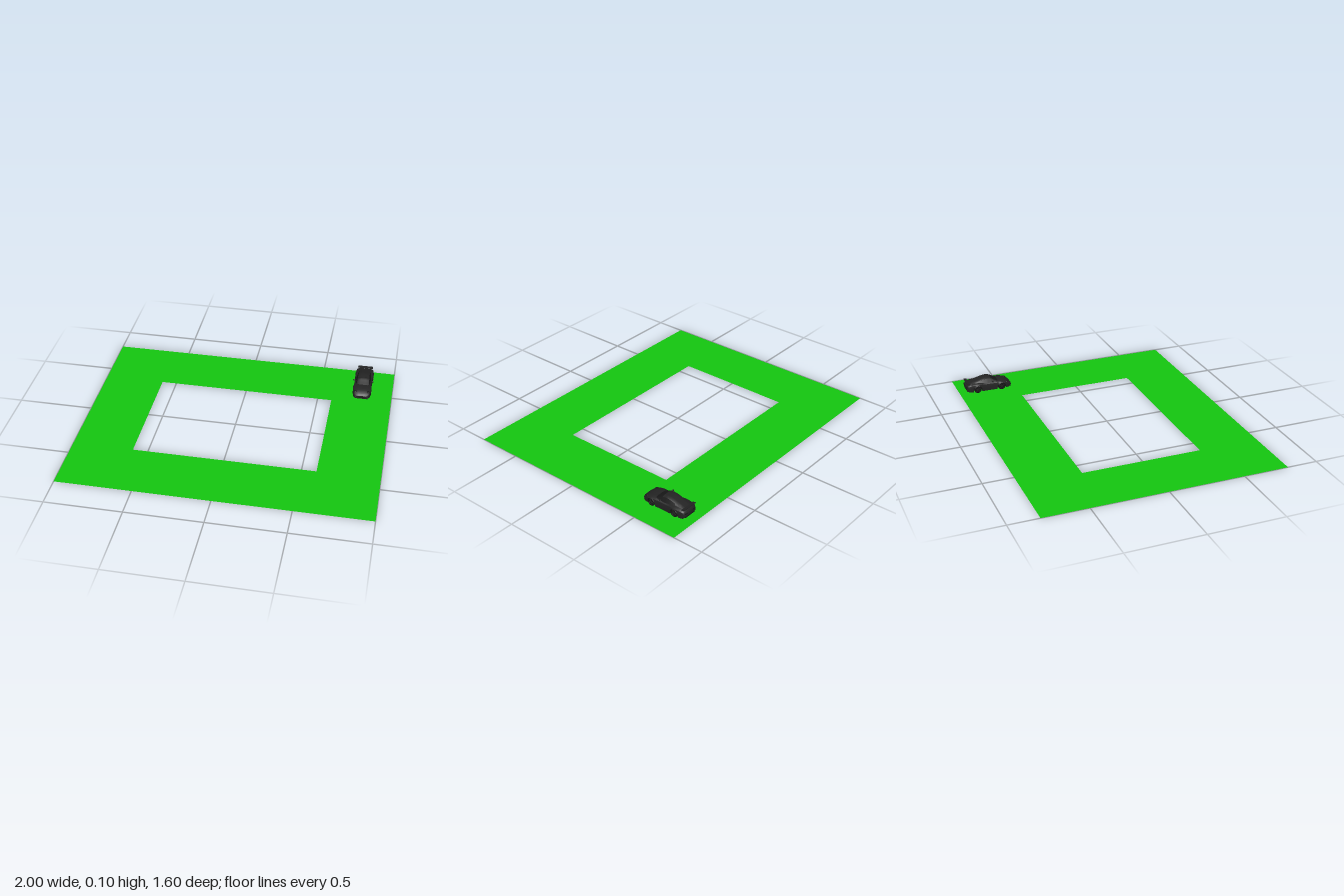
import * as THREE from 'three';
import { toCreasedNormals } from 'three/addons/utils/BufferGeometryUtils.js';

const paint = new THREE.MeshStandardMaterial({ color: 0x242424 });
const glass = new THREE.MeshStandardMaterial({ color: 0x1a1a1a });
const rubber = new THREE.MeshStandardMaterial({ color: 0x161616 });
const grass = new THREE.MeshStandardMaterial({ color: 0x14c810, side: THREE.DoubleSide });

const WHEEL_Z = [0.088, -0.085];
const WHEEL_R = 0.026, WHEEL_Y = 0.031, ARCH_R = 0.03;

function add(parent, name, geometry, material, x = 0, y = 0, z = 0) {
  const mesh = new THREE.Mesh(geometry, material);
  mesh.name = name;
  mesh.position.set(x, y, z);
  parent.add(mesh);
  return mesh;
}

// Skin closed cross-sections along z; keys are [z, ...values], smoothly interpolated
function loft(keys, steps, section) {
  const size = keys[0].length - 1;
  const curve = new THREE.CubicInterpolant(
    keys.map(k => k[0]), keys.flatMap(k => k.slice(1)), size, new Float32Array(size));
  const z0 = keys[0][0], z1 = keys[keys.length - 1][0];
  const pos = [], index = [];
  let n = 0;
  for (let i = 0; i <= steps; i++) {
    const z = z0 + (z1 - z0) * i / steps;
    // right half from bottom to top, mirrored to close the ring
    const half = section(z, ...curve.evaluate(z));
    const ring = [...half, ...half.slice().reverse().map(([x, y]) => [-x, y])];
    n = ring.length;
    ring.forEach(([x, y]) => pos.push(x, y, z));
  }
  for (let i = 0; i < steps; i++) {
    for (let j = 0; j < n; j++) {
      const a = i * n + j, b = i * n + (j + 1) % n;
      index.push(a, b, b + n, a, b + n, a + n);
    }
  }
  const last = steps * n;
  for (let j = 0; j < n / 2 - 1; j++) {
    const a = j, b = j + 1, c = n - 2 - j, d = n - 1 - j;
    index.push(a, c, b, a, d, c);
    index.push(last + a, last + b, last + c, last + a, last + c, last + d);
  }
  const g = new THREE.BufferGeometry();
  g.setAttribute('position', new THREE.Float32BufferAttribute(pos, 3));
  g.setIndex(index);
  return toCreasedNormals(g, 0.6);
}

function buildTrack() {
  const shape = new THREE.Shape();
  shape.moveTo(-1, -0.8).lineTo(1, -0.8).lineTo(1, 0.8).lineTo(-1, 0.8).closePath();
  const hole = new THREE.Path();
  hole.moveTo(-0.6, -0.395).lineTo(-0.6, 0.4).lineTo(0.595, 0.4).lineTo(0.595, -0.395).closePath();
  shape.holes.push(hole);
  const g = new THREE.ShapeGeometry(shape);
  g.rotateX(-Math.PI / 2);
  return g;
}

function buildCar() {
  const car = new THREE.Group();
  car.name = 'car';

  // Lower body, with the sill lifted over each wheel: z, half width, sill, deck
  add(car, 'body', loft([
    [-0.160, 0.046, 0.028, 0.052], [-0.152, 0.055, 0.020, 0.062],
    [-0.130, 0.061, 0.016, 0.068], [-0.085, 0.064, 0.014, 0.072],
    [-0.030, 0.061, 0.013, 0.068], [0.030, 0.061, 0.013, 0.068],
    [0.088, 0.064, 0.013, 0.067], [0.125, 0.060, 0.014, 0.059],
    [0.150, 0.051, 0.018, 0.046], [0.160, 0.040, 0.022, 0.037],
  ], 80, (z, w, sill, deck) => {
    let low = sill;
    for (const wz of WHEEL_Z) {
      const d = ARCH_R ** 2 - (z - wz) ** 2;
      if (d > 0) low = Math.max(low, WHEEL_Y + Math.sqrt(d) * 0.85);
    }
    const mid = Math.max(low + 0.001, sill + (deck - sill) * 0.55);
    return [[w * 0.62, low], [w * 0.97, low], [w, mid],
      [w * 0.96, Math.max(mid, deck - 0.008)], [w * 0.82, deck - 0.001], [w * 0.4, deck + 0.001]];
  }), paint);
  add(car, 'underbody', new THREE.BoxGeometry(0.076, 0.03, 0.28), rubber, 0, 0.034, 0);

  // Glasshouse: z, half base, half roof, top
  const cabin = [
    [-0.145, 0.046, 0.040, 0.066], [-0.085, 0.050, 0.037, 0.083],
    [-0.040, 0.053, 0.037, 0.095], [-0.010, 0.054, 0.038, 0.098],
    [0.015, 0.054, 0.039, 0.095], [0.045, 0.052, 0.042, 0.080],
    [0.072, 0.047, 0.044, 0.066],
  ];
  add(car, 'glasshouse', loft(cabin, 28, (z, base, roof, top) =>
    [[base, 0.06], [roof, top - 0.004], [roof * 0.8, top - 0.001], [roof * 0.4, top]]), glass);
  add(car, 'roof', loft(cabin.slice(0, 5), 20, (z, base, roof, top) =>
    [[roof * 0.9, top - 0.008], [roof + 0.001, top - 0.004], [roof * 0.8, top + 0.001],
      [roof * 0.4, top + 0.002]]), paint);

  // Wheels with hub and spokes
  for (const side of [-1, 1]) {
    for (const wz of WHEEL_Z) {
      const wheel = new THREE.Group();
      wheel.name = wz > 0 ? 'frontWheel' : 'rearWheel';
      wheel.position.set(side * 0.052, WHEEL_Y, wz);
      wheel.rotation.z = -side * Math.PI / 2;
      const profile = [[0, -0.011], [0.022, -0.011], [WHEEL_R, -0.008], [WHEEL_R, 0.008],
        [0.023, 0.011], [0.019, 0.011], [0.018, 0.006], [0, 0.006]];
      add(wheel, 'tyre', toCreasedNormals(new THREE.LatheGeometry(
        profile.map(p => new THREE.Vector2(...p)), 28), 0.6), rubber);
      add(wheel, 'hub', new THREE.CylinderGeometry(0.004, 0.005, 0.004, 12), paint, 0, 0.008, 0);
      for (let i = 0; i < 5; i++) {
        const a = i * Math.PI * 2 / 5;
        const spoke = add(wheel, 'spoke', new THREE.BoxGeometry(0.017, 0.003, 0.004), paint,
          Math.cos(a) * 0.0105, 0.008, -Math.sin(a) * 0.0105);
        spoke.rotation.y = a;
      }
      car.add(wheel);
    }
    // Door mirrors
    const mirror = add(car, 'mirror', new THREE.SphereGeometry(1, 12, 8), paint, side * 0.063, 0.074, 0.024);
    mirror.scale.set(0.008, 0.005, 0.005);
    add(car, 'mirrorStalk', new THREE.BoxGeometry(0.014, 0.003, 0.004), paint, side * 0.054, 0.071, 0.025);
    // Headlamps and tail lamps
    const lamp = add(car, 'headlamp', new THREE.SphereGeometry(1, 14, 10), glass, side * 0.044, 0.054, 0.128);
    lamp.scale.set(0.01, 0.006, 0.014);
    add(car, 'tailLamp', new THREE.BoxGeometry(0.022, 0.007, 0.006), glass, side * 0.036, 0.048, -0.158);
    add(car, 'wingStrut', new THREE.BoxGeometry(0.004, 0.014, 0.012), paint, side * 0.034, 0.068, -0.143);
  }

  // Rear wing, front splitter and intake, rear diffuser
  const wing = add(car, 'rearWing', new THREE.BoxGeometry(0.104, 0.004, 0.02), paint, 0, 0.076, -0.148);
  wing.rotation.x = 0.15;
  add(car, 'frontSplitter', new THREE.BoxGeometry(0.09, 0.004, 0.024), paint, 0, 0.017, 0.146);
  add(car, 'frontIntake', new THREE.BoxGeometry(0.05, 0.008, 0.006), glass, 0, 0.027, 0.158);
  add(car, 'rearDiffuser', new THREE.BoxGeometry(0.084, 0.01, 0.022), rubber, 0, 0.023, -0.146);
  return car;
}

export function createModel() {
  const model = new THREE.Group();
  model.name = 'carOnTrack';
  add(model, 'track', buildTrack(), grass);
  const car = buildCar();
  car.position.set(0.795, 0, -0.593);
  model.add(car);
  return model;
}
